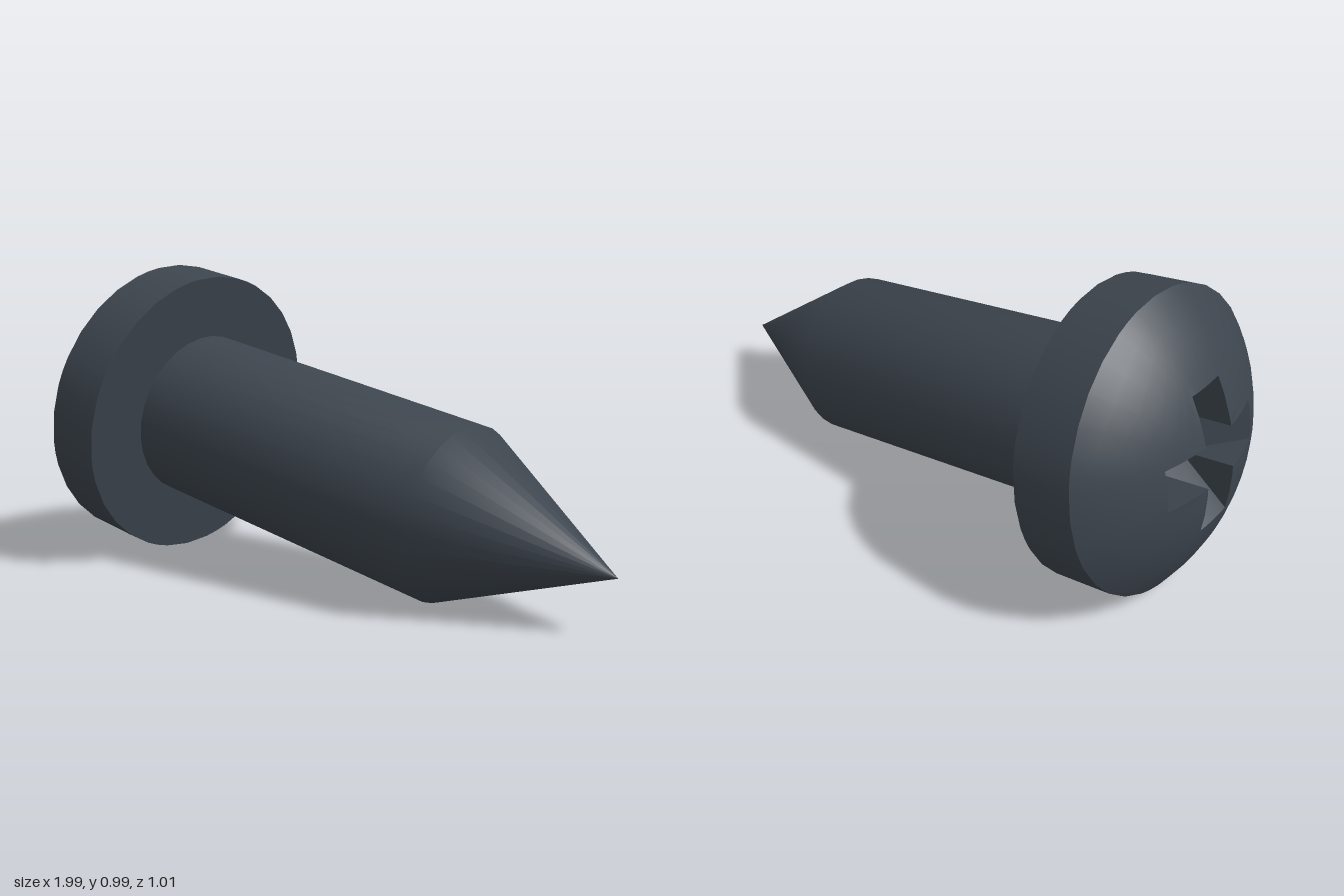
import * as THREE from 'three';
import { toCreasedNormals } from 'three/addons/utils/BufferGeometryUtils.js';

// Local frame: +y runs out through the head, origin on the underside of the head.
const SIDES = 32;
const HEAD_R = 0.485, RIM_H = 0.197, DOME_H = 0.193;
const SHAFT_R = 0.278, SHAFT_LEN = 1.11, TIP = 1.655;
const ARM = 0.23, HALF = 0.07, FLOOR_Y = 0.2; // cross recess

const domeR = (HEAD_R ** 2 + DOME_H ** 2) / (2 * DOME_H);
const domeY = r => RIM_H + DOME_H - domeR + Math.sqrt(domeR ** 2 - r ** 2);

// Distance from the axis to the outline of the cross at one angle
function crossRadius(angle) {
  const c = Math.abs(Math.cos(angle)) + 1e-9, s = Math.abs(Math.sin(angle)) + 1e-9;
  return Math.max(Math.min(ARM / c, HALF / s), Math.min(HALF / c, ARM / s));
}

// Regular angles plus the outer corners of the cross
function headAngles() {
  const list = [];
  for (let i = 0; i < SIDES; i++) list.push(i * 2 * Math.PI / SIDES);
  const corner = Math.atan2(HALF, ARM);
  for (let q = 0; q < 4; q++) {
    list.push(q * Math.PI / 2 + corner, (q + 1) * Math.PI / 2 - corner);
  }
  return list.sort((a, b) => a - b);
}

// Head: rings from the underside, round the rim, over the dome and into the recess
function headGeometry() {
  const angles = headAngles();
  const polar = (r, y) => a => [r * Math.cos(a), y, r * Math.sin(a)];
  const rings = [polar(0, 0), polar(HEAD_R, 0), polar(HEAD_R, RIM_H)];
  const steps = 6;
  for (let k = 1; k <= steps; k++) {
    rings.push(a => {
      const r = THREE.MathUtils.lerp(HEAD_R, crossRadius(a), k / steps);
      return polar(r, domeY(r))(a);
    });
  }
  // Sloping arm ends run down to a small square floor
  const clamp = v => THREE.MathUtils.clamp(v, -HALF, HALF);
  rings.push(a => {
    const [x, , z] = polar(crossRadius(a), 0)(a);
    return [clamp(x), FLOOR_Y, clamp(z)];
  });
  rings.push(polar(0, FLOOR_Y));

  const n = angles.length, position = [], index = [];
  rings.forEach(ring => angles.forEach(a => position.push(...ring(a))));
  for (let i = 0; i < rings.length - 1; i++) {
    for (let j = 0; j < n; j++) {
      const a = i * n + j, c = i * n + (j + 1) % n;
      index.push(a, a + n, c, a + n, c + n, c);
    }
  }
  const geometry = new THREE.BufferGeometry();
  geometry.setAttribute('position', new THREE.Float32BufferAttribute(position, 3));
  geometry.setIndex(index);
  return toCreasedNormals(geometry, 0.5);
}

export function createModel() {
  const darkSteel = new THREE.MeshStandardMaterial({ color: 0x3c444d });
  darkSteel.name = 'darkSteel';

  const screw = new THREE.Group();
  screw.name = 'screw';

  const head = new THREE.Mesh(headGeometry(), darkSteel);
  head.name = 'head';

  // Shaft and pointed end
  const profile = [[0, -TIP], [SHAFT_R, -SHAFT_LEN], [SHAFT_R, 0]]
    .map(([x, y]) => new THREE.Vector2(x, y));
  const shaft = new THREE.Mesh(new THREE.LatheGeometry(profile, SIDES), darkSteel);
  shaft.name = 'shaft';

  screw.add(head, shaft);

  // Lean the screw so that it lies on its head and shoulder
  const out = new THREE.Vector3(-1, 0.195, -0.213).normalize();
  const side = new THREE.Vector3(-0.213, 0, 1).normalize();
  const third = new THREE.Vector3();
  side.addScaledVector(out, -side.dot(out)).normalize();
  third.crossVectors(side, out);
  screw.quaternion.setFromRotationMatrix(new THREE.Matrix4().makeBasis(side, out, third));
  screw.position.set(-0.6, 0.487, 0.004);

  const model = new THREE.Group();
  model.name = 'model';
  model.add(screw);
  return model;
}
